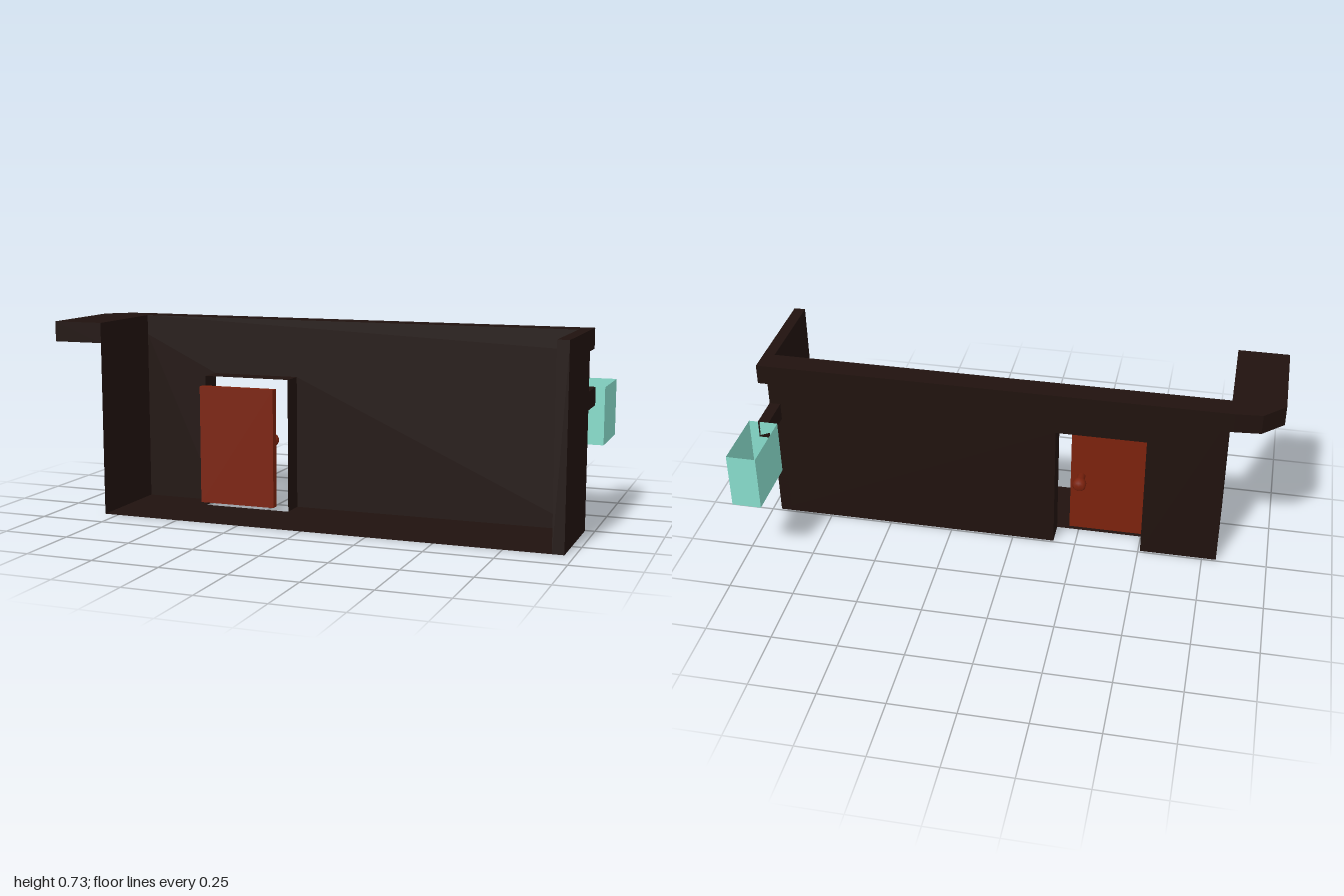
import * as THREE from 'three';

const dark = new THREE.MeshStandardMaterial({ color: 0x20120e, side: THREE.DoubleSide });
const red = new THREE.MeshStandardMaterial({ color: 0x7c220d });
const mint = new THREE.MeshStandardMaterial({ color: 0x88ddcc, side: THREE.DoubleSide });

// Main extents
const L = -0.805, R = 0.965, BACK = 0.008, FRONT = 0.378, TOP = 0.732, UNDER = 0.656;
const DOOR = { x0: -0.508, x1: -0.163, h: 0.512, z: 0.1 };

export function createModel() {
  const model = new THREE.Group();

  const add = (name, geometry, material, parent = model) => {
    const mesh = new THREE.Mesh(geometry, material);
    mesh.name = name;
    parent.add(mesh);
    return mesh;
  };
  const box = (name, x0, x1, y0, y1, z0, z1, material, parent) =>
    add(name, new THREE.BoxGeometry(x1 - x0, y1 - y0, z1 - z0)
      .translate((x0 + x1) / 2, (y0 + y1) / 2, (z0 + z1) / 2), material, parent);
  const outline = (points) => new THREE.Shape(points.map(([x, y]) => new THREE.Vector2(x, y)));
  const sheet = (points) => new THREE.ShapeGeometry(outline(points));

  // Thin long wall with a doorway
  const wall = sheet([
    [L, 0], [DOOR.x0, 0], [DOOR.x0, DOOR.h], [DOOR.x1, DOOR.h],
    [DOOR.x1, 0], [R, 0], [R, UNDER], [L, UNDER],
  ]).translate(0, 0, BACK);
  add('longWall', wall, dark);

  // Thin floor, cut away inside the doorway (shape y becomes z)
  const floor = sheet([
    [L, BACK], [DOOR.x0, BACK], [DOOR.x0, DOOR.z], [DOOR.x1, DOOR.z],
    [DOOR.x1, BACK], [R, BACK], [R, FRONT], [L, FRONT],
  ]).rotateX(Math.PI / 2);
  add('floor', floor, dark);

  // Thin end wall under the short counter
  const endWall = sheet([[BACK, 0], [FRONT, 0], [FRONT, UNDER], [BACK, UNDER]])
    .rotateY(-Math.PI / 2).translate(L, 0, 0);
  add('endWall', endWall, dark);

  // Thick end panel reaching the counter height
  box('endPanel', 0.922, R, 0, TOP, BACK, FRONT, dark);

  // L-shaped counter with a chamfered corner
  const counter = new THREE.ExtrudeGeometry(outline([
    [-1, FRONT], [-1, 0], [-0.92, -0.075], [-0.82, -0.083],
    [R, -0.083], [R, BACK], [L, BACK], [L, FRONT],
  ]), { depth: TOP - UNDER, bevelEnabled: false })
    .rotateX(Math.PI / 2).translate(0, TOP, 0);
  add('counter', counter, dark);

  // Doorway lining: two jambs and a lintel
  const frame = new THREE.Group();
  frame.name = 'doorFrame';
  model.add(frame);
  const depth = DOOR.z - BACK, midZ = (DOOR.z + BACK) / 2;
  for (const [name, x] of [['rightJamb', DOOR.x0], ['leftJamb', DOOR.x1]]) {
    add(name, new THREE.PlaneGeometry(depth, DOOR.h).rotateY(Math.PI / 2)
      .translate(x, DOOR.h / 2, midZ), dark, frame);
  }
  add('lintel', new THREE.PlaneGeometry(DOOR.x1 - DOOR.x0, depth).rotateX(Math.PI / 2)
    .translate((DOOR.x0 + DOOR.x1) / 2, DOOR.h, midZ), dark, frame);

  // Door leaf and its knob on the outer side
  const door = new THREE.Group();
  door.name = 'door';
  model.add(door);
  box('doorLeaf', -0.52, -0.213, 0.016, 0.474, 0.096, 0.128, red, door);
  const knobProfile = [[0, 0], [0.016, 0], [0.016, 0.04], [0.026, 0.046], [0.026, 0.066], [0.018, 0.076], [0, 0.076]]
    .map(([r, y]) => new THREE.Vector2(r, y));
  const knob = add('doorKnob', new THREE.LatheGeometry(knobProfile, 16).rotateX(-Math.PI / 2), red, door);
  knob.position.set(-0.255, 0.265, 0.096);

  // Arm carrying an open-topped bin
  box('binArm', 0.922, R, 0.443, 0.511, -0.128, BACK, dark);
  const bin = new THREE.Group();
  bin.name = 'bin';
  model.add(bin);
  const w = 0.112, h = 0.216, d = 0.25;
  for (const s of [-1, 1]) {
    add('binSide', new THREE.PlaneGeometry(d, h).rotateY(s * Math.PI / 2).translate(s * w / 2, 0, 0), mint, bin);
    add('binEnd', new THREE.PlaneGeometry(w, h).rotateY(s > 0 ? 0 : Math.PI).translate(0, 0, s * d / 2), mint, bin);
  }
  add('binBottom', new THREE.PlaneGeometry(w, d).rotateX(Math.PI / 2).translate(0, -h / 2, 0), mint, bin);
  bin.position.set(0.944, 0.403, -0.253);

  return model;
}
